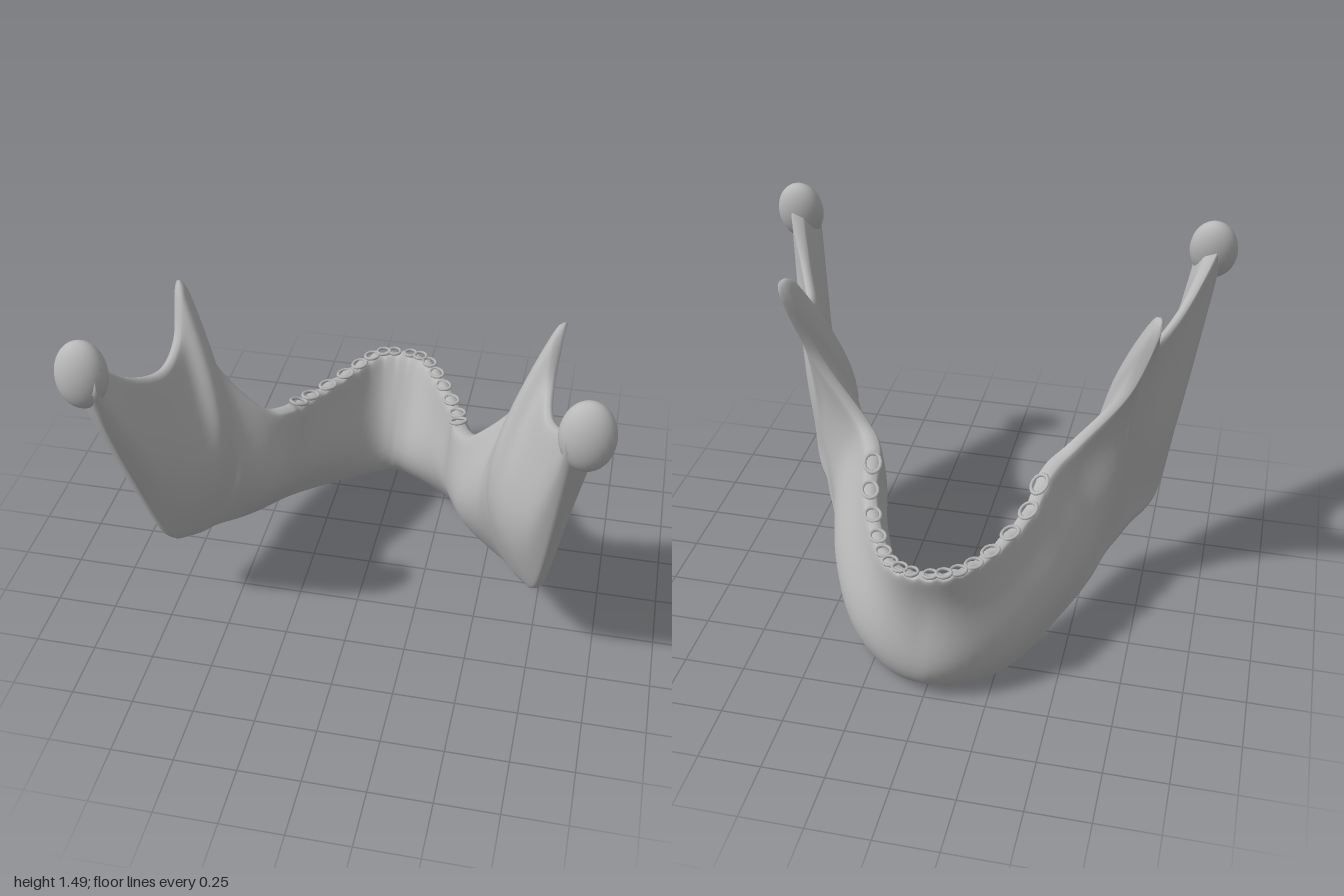
import * as THREE from 'three';

// Lower and upper border of the left half, paired from chin to joint (x, y, z each)
const BORDERS = [
  [0, .02, -.67, 0, .61, -.75],
  [.14, 0, -.62, .12, .61, -.71],
  [.3, .02, -.485, .22, .605, -.55],
  [.44, .1, -.26, .32, .635, -.31],
  [.53, .16, -.07, .365, .715, -.1],
  [.58, .21, .06, .455, .785, .01],
  [.63, .245, .15, .64, 1.02, .052],
  [.655, .26, .2, .745, 1.32, .005],
  [.68, .27, .25, .75, 1.355, .075],
  [.72, .29, .31, .735, 1.19, .18],
  [.76, .34, .39, .75, 1.14, .335],
  [.79, .5, .475, .82, 1.21, .5],
  [.855, 1.05, .685, .895, 1.37, .65],
  [.89, 1.3, .755, .9, 1.43, .71],
];
const LAST = BORDERS.length - 1;

// Both border curves run from the right joint to the left: the right half mirrors in x
const borderCurve = (offset) => {
  const points = [];
  for (let i = -LAST; i <= LAST; i++) {
    const [x, y, z] = BORDERS[Math.abs(i)].slice(offset, offset + 3);
    points.push(new THREE.Vector3(Math.sign(i) * x, y, z));
  }
  return new THREE.CatmullRomCurve3(points, false, 'catmullrom', 0.5);
};
const lower = borderCurve(0), upper = borderCurve(3);
const bump = (d, centre, width) => Math.exp(-(((d - centre) / width) ** 2));

// Slice across the bone at position s, -LAST (right joint) to LAST (left joint)
function slice(s) {
  const u = (s + LAST) / (2 * LAST), d = Math.abs(s);
  const angle = Math.sign(s) * THREE.MathUtils.degToRad(Math.min(61, 24 * d));
  return {
    low: lower.getPoint(u),
    high: upper.getPoint(u),
    along: upper.getTangent(u),
    out: new THREE.Vector3(Math.sin(angle), 0, -Math.cos(angle)),
    // half thickness at the borders, fuller at the molars and the neck
    rim: 0.046 - 0.0012 * d + 0.012 * bump(d, 4, 1) + 0.012 * Math.max(0, d - 11),
    belly: 0.125 - 0.005 * d, // half thickness at the fullest height
    skew: Math.min(0.8, 0.45 + 0.12 * d), // fullest below the middle
    // the chin front is hollow and the branches bow inward
    bow: -0.012 - 0.036 * bump(d, 0, 1.3) - 0.108 * bump(d, 7.5, 2.4),
    ripple: d < 4 ? 0.008 * Math.cos(s * 13) : 0, // uneven rim over the tooth row
  };
}

function jawGeometry() {
  const STEPS = 6, RING = 40;
  const pos = [], index = [];
  const rings = LAST * 2 * STEPS;
  for (let r = 0; r <= rings; r++) {
    const c = slice(r / STEPS - LAST);
    for (let k = 0; k < RING; k++) {
      // Up the outer face, then down the inner face
      const a = (k / RING) * Math.PI * 2;
      const t = (1 - Math.cos(a)) / 2;
      const half = c.rim + (c.belly - c.rim) * Math.sin(Math.PI * t ** c.skew) ** 2;
      const round = Math.sign(Math.sin(a)) * Math.abs(Math.sin(a)) ** 0.4;
      const p = c.low.clone().lerp(c.high, t)
        .addScaledVector(c.out, c.bow * 4 * t * (1 - t) + half * round);
      pos.push(p.x, p.y + c.ripple * t ** 12, p.z);
      if (r < rings) {
        const n = (k + 1) % RING, i = r * RING, j = i + RING;
        index.push(i + k, i + n, j + k, j + k, i + n, j + n);
      }
    }
  }
  // Close both ends inside the joint heads
  const end = rings * RING;
  for (let k = 1; k < RING - 1; k++) {
    index.push(0, k + 1, k, end, end + k, end + k + 1);
  }
  const geo = new THREE.BufferGeometry();
  geo.setAttribute('position', new THREE.Float32BufferAttribute(pos, 3));
  geo.setIndex(index);
  geo.computeVertexNormals();
  return geo;
}

export function createModel() {
  const model = new THREE.Group();
  model.name = 'lowerJaw';
  const bone = new THREE.MeshStandardMaterial({ color: 0xb8b8b8 });
  bone.name = 'bone grey';

  const add = (name, geo) => {
    const mesh = new THREE.Mesh(geo, bone);
    mesh.name = name;
    model.add(mesh);
    return mesh;
  };

  // Arch, upright branches and front processes in one smooth skin
  add('jawBone', jawGeometry());

  for (const side of [1, -1]) {
    const label = side > 0 ? 'left' : 'right';

    // Rounded joint head, leaning forward
    const head = add(label + 'JointHead', new THREE.SphereGeometry(1, 28, 20));
    head.scale.set(0.1, 0.132, 0.07);
    head.position.set(side * 0.9, 1.36, 0.717);
    head.rotation.x = -0.15;

    // Low rims of the empty tooth sockets, larger towards the back
    for (let i = 0; i < 8; i++) {
      const c = slice(side * (0.3 + 0.38 * i + 0.013 * i * i));
      const socket = add(label + 'Socket' + (i + 1), new THREE.TorusGeometry(1, 0.22, 6, 14).rotateX(Math.PI / 2));
      const up = new THREE.Vector3().crossVectors(c.along, c.out).negate().normalize();
      const across = new THREE.Vector3().crossVectors(c.along, up);
      socket.quaternion.setFromRotationMatrix(new THREE.Matrix4().makeBasis(c.along, up, across));
      socket.scale.set(0.026 + 0.003 * i, 0.03, 0.026 + 0.001 * i);
      socket.position.copy(c.high).addScaledVector(up, c.ripple - 0.004);
    }
  }
  return model;
}
